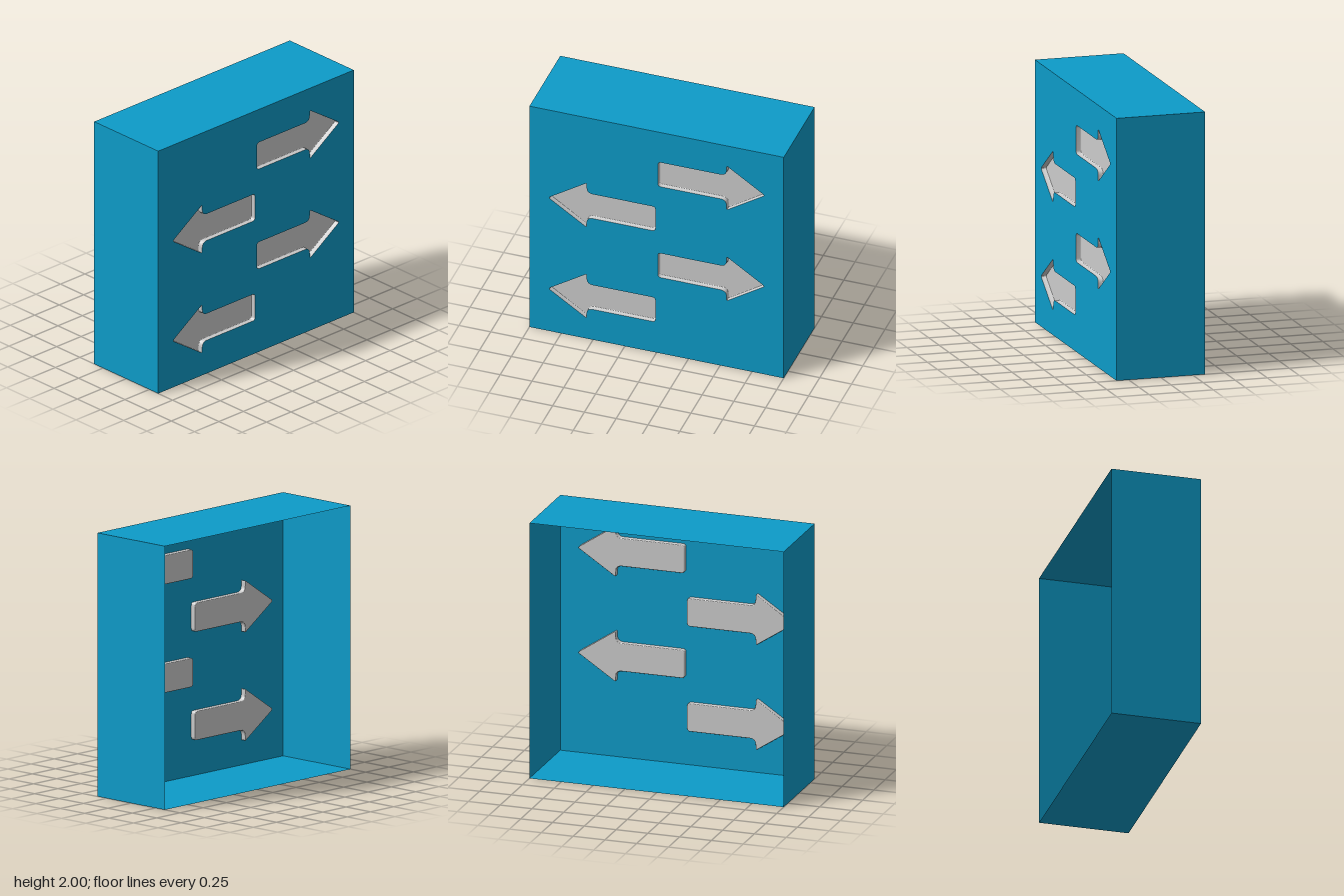
import * as THREE from 'three';
import { mergeVertices, toCreasedNormals } from 'three/addons/utils/BufferGeometryUtils.js';

const W = 2, H = 2, D = 0.69;      // open-backed case
const DEPTH = 0.04, ROUND = 0.006; // arrow recess depth and floor edge rounding

// Arrow corners (x, y, corner cut), pointing to +x, counter-clockwise
const CORNERS = [
  [0.01, -0.11, 0.025], [0.55, -0.11, 0.05], [0.55, -0.2, 0.016],
  [0.852, 0, 0.02],
  [0.55, 0.2, 0.016], [0.55, 0.11, 0.05], [0.01, 0.11, 0.025],
];

// Closed outline with rounded corners
function arrowOutline() {
  const p = CORNERS.map(([x, y]) => new THREE.Vector2(x, y));
  const n = p.length, out = [];
  for (let i = 0; i < n; i++) {
    const toward = (q) => p[i].clone().add(q.clone().sub(p[i]).setLength(CORNERS[i][2]));
    const curve = new THREE.QuadraticBezierCurve(toward(p[(i + n - 1) % n]), p[i], toward(p[(i + 1) % n]));
    out.push(...curve.getPoints(8));
  }
  return out;
}

// Move each outline point inward along its normal
function inset(points, d) {
  const n = points.length;
  return points.map((q, i) => {
    const t = points[(i + 1) % n].clone().sub(points[(i + n - 1) % n]).normalize();
    return new THREE.Vector2(q.x - t.y * d, q.y + t.x * d);
  });
}

// Recess wall: rings lofted from the panel back to the rounded floor edge
function wallGeometry(outline) {
  const rings = [[0, 0]];
  for (let k = 0; k <= 4; k++) {
    const a = (k / 4) * Math.PI / 2;
    rings.push([ROUND * (1 - Math.cos(a)), -DEPTH + ROUND * (1 - Math.sin(a))]);
  }
  const pos = [], index = [], n = outline.length;
  for (const [d, z] of rings) for (const q of inset(outline, d)) pos.push(q.x, q.y, z);
  for (let r = 0; r < rings.length - 1; r++) {
    for (let i = 0; i < n; i++) {
      const a = r * n + i, b = r * n + (i + 1) % n;
      index.push(a, b, a + n, b, b + n, a + n);
    }
  }
  const g = new THREE.BufferGeometry();
  g.setAttribute('position', new THREE.Float32BufferAttribute(pos, 3));
  g.setIndex(index);
  return toCreasedNormals(mergeVertices(g), 0.6);
}

export function createModel() {
  const model = new THREE.Group();
  model.name = 'arrowSignCase';
  const blue = new THREE.MeshStandardMaterial({ color: 0x0d9bc8, side: THREE.DoubleSide });
  const grey = new THREE.MeshStandardMaterial({ color: 0xcccccc, side: THREE.DoubleSide });
  const add = (parent, name, geometry, material) => {
    const mesh = new THREE.Mesh(geometry, material);
    mesh.name = name;
    parent.add(mesh);
    return mesh;
  };

  // Four arrows, alternating direction from bottom to top
  const outline = arrowOutline();
  const wall = wallGeometry(outline);
  const floor = new THREE.ShapeGeometry(new THREE.Shape(inset(outline, ROUND)));
  floor.translate(0, 0, -DEPTH);
  const panel = new THREE.Shape([
    new THREE.Vector2(-W / 2, 0), new THREE.Vector2(W / 2, 0),
    new THREE.Vector2(W / 2, H), new THREE.Vector2(-W / 2, H),
  ]);
  for (let i = 0; i < 4; i++) {
    const y = 0.384 + i * 0.4115, dir = i % 2 ? 1 : -1;
    const arrow = new THREE.Group();
    arrow.name = dir > 0 ? 'arrowPointingLeft' : 'arrowPointingRight'; // the model's own sides
    arrow.position.set(0, y, D / 2);
    if (dir < 0) arrow.rotation.z = Math.PI;
    add(arrow, 'arrowWall', wall, grey);
    add(arrow, 'arrowFloor', floor, grey);
    model.add(arrow);
    panel.holes.push(new THREE.Path(outline.map((q) => new THREE.Vector2(q.x * dir, q.y * dir + y))));
  }

  // Front panel with arrow openings
  add(model, 'frontPanel', new THREE.ShapeGeometry(panel), blue).position.z = D / 2;

  // Thin walls of the case, open at the back
  for (const s of [-1, 1]) {
    const side = add(model, s > 0 ? 'leftWall' : 'rightWall', new THREE.PlaneGeometry(D, H), blue);
    side.position.set(s * W / 2, H / 2, 0);
    side.rotation.y = s * Math.PI / 2;
    const cap = add(model, s > 0 ? 'topWall' : 'bottomWall', new THREE.PlaneGeometry(W, D), blue);
    cap.position.y = s > 0 ? H : 0;
    cap.rotation.x = -s * Math.PI / 2;
  }
  return model;
}
